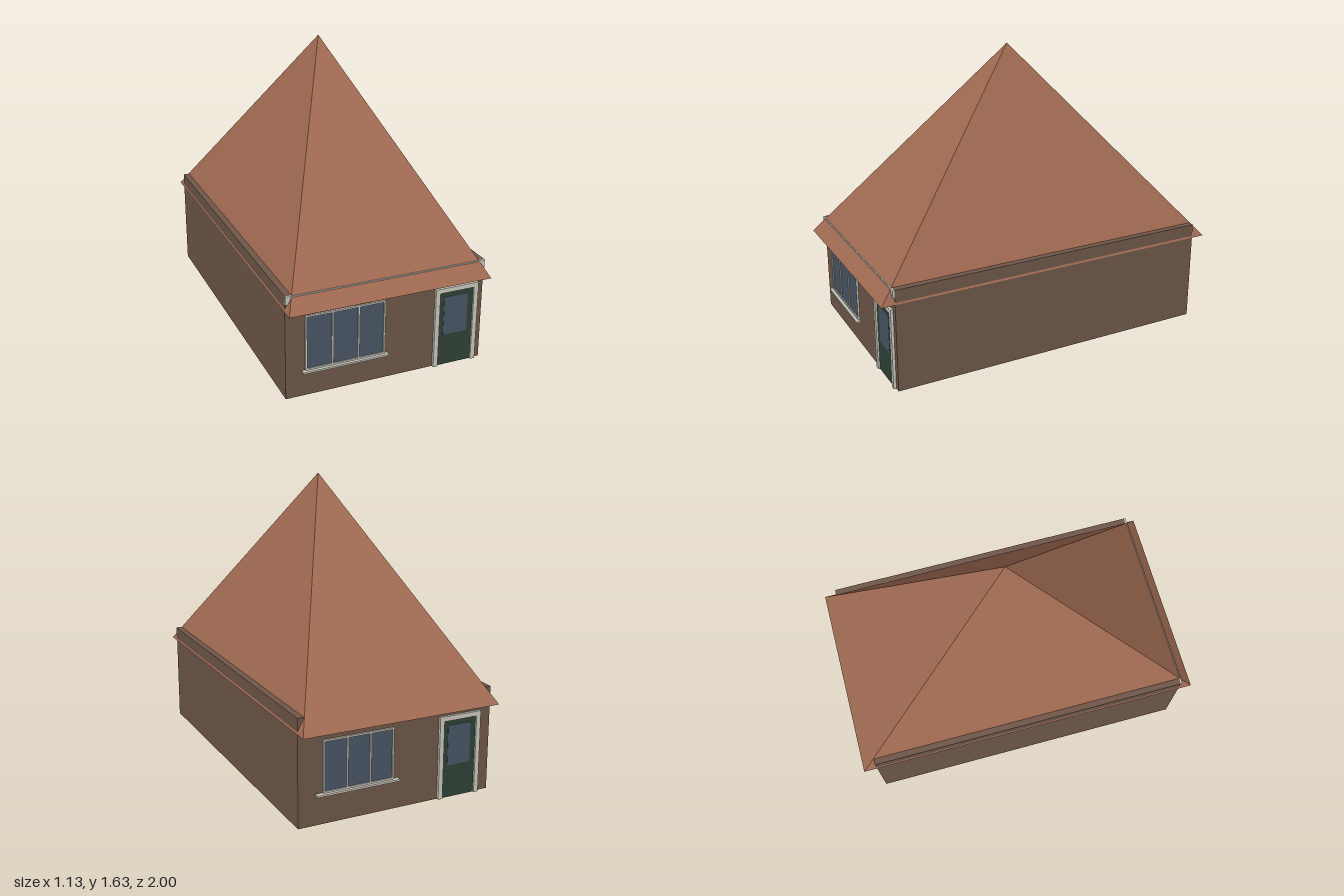
import * as THREE from 'three';

const mat = (color, side = THREE.FrontSide) => new THREE.MeshStandardMaterial({ color, side, flatShading: true });
const wallMat = mat(0x70584a, THREE.DoubleSide);
const roofMat = mat(0xa06a52);
const trimMat = mat(0xcbc9be);
const glassMat = mat(0x4a5666);
const doorMat = mat(0x304236);

const WALL_X = 0.56, WALL_Z = 0.925, WALL_TOP = 0.58;
const EAVE_X = 0.565, EAVE_Y = 0.5, APEX_Y = 1.635;

// Box given by its limits on each axis
function slab(name, material, x0, x1, y0, y1, z0, z1) {
  const mesh = new THREE.Mesh(new THREE.BoxGeometry(x1 - x0, y1 - y0, z1 - z0), material);
  mesh.position.set((x0 + x1) / 2, (y0 + y1) / 2, (z0 + z1) / 2);
  mesh.name = name;
  return mesh;
}

// Flat frame extruded from an outline with rectangular openings [x0, x1, y0, y1]
function frame(name, outer, openings, depth) {
  const trace = (path, [x0, x1, y0, y1]) =>
    path.moveTo(x0, y0).lineTo(x1, y0).lineTo(x1, y1).lineTo(x0, y1).closePath();
  const shape = trace(new THREE.Shape(), outer);
  for (const o of openings) shape.holes.push(trace(new THREE.Path(), o));
  const geo = new THREE.ExtrudeGeometry(shape, { depth, bevelEnabled: false });
  const mesh = new THREE.Mesh(geo, trimMat);
  mesh.position.z = WALL_Z;
  mesh.name = name;
  return mesh;
}

// Three-pane window with a projecting sill
function makeWindow(x0, x1, y0, y1, sillX0, sillX1) {
  const g = new THREE.Group();
  g.name = 'window';
  const bar = 0.009;
  const pane = (x1 - x0 - 4 * bar) / 3;
  const openings = [0, 1, 2].map((i) => {
    const left = x0 + bar + i * (pane + bar);
    return [left, left + pane, y0 + bar, y1 - bar];
  });
  g.add(frame('windowFrame', [x0, x1, y0, y1], openings, 0.01));
  g.add(slab('windowGlass', glassMat, x0 + 0.004, x1 - 0.004, y0 + 0.004, y1 - 0.004, WALL_Z, WALL_Z + 0.004));
  g.add(slab('windowSill', trimMat, sillX0, sillX1, y0 - 0.01, y0, WALL_Z, WALL_Z + 0.026));
  return g;
}

// Door with a glazed upper part, in a frame open at the ground
function makeDoor(x0, x1) {
  const g = new THREE.Group();
  g.name = 'door';
  const t = 0.026, top = 0.458, head = top - t;
  g.add(slab('doorJamb', trimMat, x0, x0 + t, 0, head, WALL_Z, WALL_Z + 0.015));
  g.add(slab('doorJamb', trimMat, x1 - t, x1, 0, head, WALL_Z, WALL_Z + 0.015));
  g.add(slab('doorHead', trimMat, x0, x1, head, top, WALL_Z, WALL_Z + 0.015));
  g.add(slab('doorLeaf', doorMat, x0 + t, x1 - t, 0, head, WALL_Z, WALL_Z + 0.005));
  g.add(slab('doorGlass', glassMat, x0 + 0.055, x1 - 0.057, 0.18, 0.402, WALL_Z, WALL_Z + 0.007));
  return g;
}

export function createModel() {
  const house = new THREE.Group();
  house.name = 'house';

  // Thin walls, open underneath (the bottom face of the box is left out)
  const wallGeo = new THREE.BoxGeometry(WALL_X * 2, WALL_TOP, WALL_Z * 2);
  const index = Array.from(wallGeo.index.array);
  index.splice(18, 6);
  wallGeo.setIndex(index);
  wallGeo.clearGroups();
  const walls = new THREE.Mesh(wallGeo, wallMat);
  walls.position.y = WALL_TOP / 2;
  walls.name = 'walls';
  house.add(walls);

  // Steep four-sided roof with overhanging ends
  const roofGeo = new THREE.ConeGeometry(Math.SQRT2, APEX_Y - EAVE_Y, 4, 1, false, Math.PI / 4);
  roofGeo.scale(EAVE_X, 1, 1);
  const roof = new THREE.Mesh(roofGeo, roofMat);
  roof.position.y = (APEX_Y + EAVE_Y) / 2;
  roof.name = 'roof';
  house.add(roof);

  // Pale board along the top of the front wall
  house.add(slab('frontBoard', trimMat, -WALL_X, WALL_X, 0.535, WALL_TOP, WALL_Z, WALL_Z + 0.01));

  // Front openings
  const front = new THREE.Group();
  front.name = 'frontOpenings';
  front.add(makeWindow(-0.455, -0.013, 0.147, 0.455, -0.472, 0.005), makeDoor(0.275, 0.528));
  house.add(front);

  // Back openings, turned to face the other way
  const back = new THREE.Group();
  back.name = 'backOpenings';
  back.add(makeWindow(-0.425, -0.025, 0.168, 0.448, -0.465, 0.005), makeDoor(0.245, 0.495));
  back.rotation.y = Math.PI;
  house.add(back);

  return house;
}
